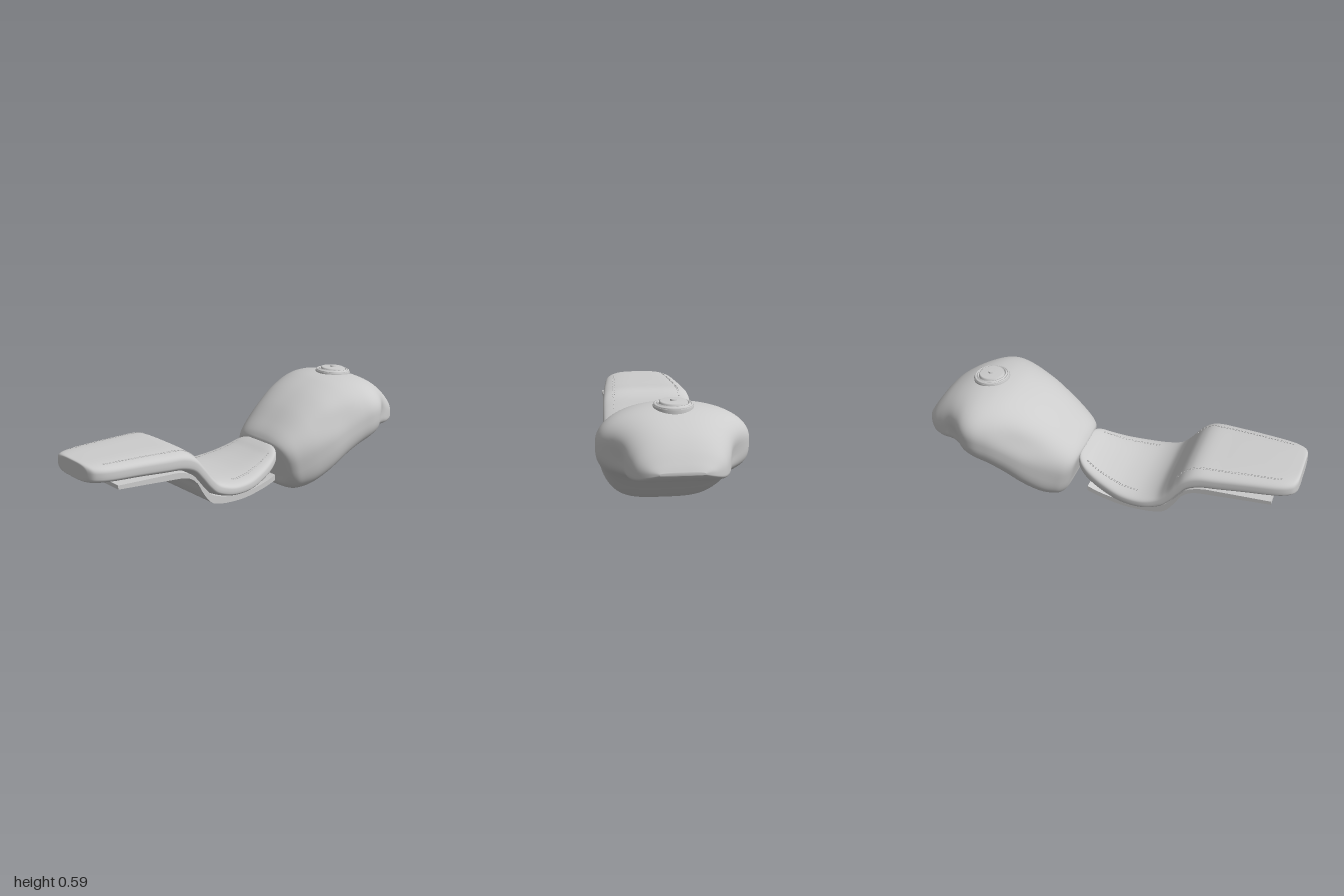
import * as THREE from 'three';
import { mergeGeometries } from 'three/addons/utils/BufferGeometryUtils.js';

const grey = new THREE.MeshStandardMaterial({ color: 0xcccccc });
grey.name = 'light grey';

// Smooth interpolation of station rows at parameter t in 0..1
function sample(rows, t) {
  const f = t * (rows.length - 1), i = Math.min(Math.floor(f), rows.length - 2), u = f - i;
  const p = k => rows[Math.max(0, Math.min(rows.length - 1, k))];
  return rows[0].map((_, k) => {
    const a = p(i - 1)[k], b = p(i)[k], c = p(i + 1)[k], d = p(i + 2)[k];
    return b + 0.5 * u * (c - a + u * (2 * a - 5 * b + 4 * c - d + u * (3 * (b - c) + d - a)));
  });
}

// Row: topX, topY, bottomX, bottomY, halfWidth, height of widest point (0..1), upper and lower squareness
function sectionPoint(row, angle, dent) {
  const [tx, ty, bx, by, w, c, nt, nb] = row;
  const s = Math.sin(angle), k = Math.cos(angle), n = 2 / (s >= 0 ? nt : nb);
  const v = Math.sign(s) * Math.abs(s) ** n;
  const f = c + (v > 0 ? v * (1 - c) : v * c);
  const x = bx + (tx - bx) * f, y = by + (ty - by) * f;
  const z = Math.sign(k) * Math.abs(k) ** n * w;
  return [x, y, z * (1 - (dent ? dent(x, y) : 0))];
}

function loft(rows, steps, sides, dent) {
  const pos = [], idx = [];
  for (let i = 0; i <= steps; i++) {
    const row = sample(rows, i / steps);
    for (let j = 0; j < sides; j++) pos.push(...sectionPoint(row, (j / sides) * Math.PI * 2, dent));
  }
  for (let i = 0; i < steps; i++) for (let j = 0; j < sides; j++) {
    const k = (j + 1) % sides, a = i * sides + j, b = a + sides, c = i * sides + k, d = c + sides;
    idx.push(a, b, d, a, d, c);
  }
  // End caps
  for (const end of [0, 1]) {
    const r = rows[end ? rows.length - 1 : 0], centre = pos.length / 3, o = end * steps * sides;
    pos.push((r[0] + r[2]) / 2, (r[1] + r[3]) / 2, 0);
    for (let j = 0; j < sides; j++) {
      const a = o + j, b = o + (j + 1) % sides;
      idx.push(centre, end ? b : a, end ? a : b);
    }
  }
  const g = new THREE.BufferGeometry();
  g.setAttribute('position', new THREE.Float32BufferAttribute(pos, 3));
  g.setIndex(idx);
  g.computeVertexNormals();
  return g;
}

const tankRows = [
  [0.14, 0.27, 0.2, 0.07, 0.14, 0.5, 3, 3.5],
  [0.145, 0.285, 0.21, 0.035, 0.19, 0.5, 3, 3.5],
  [0.165, 0.315, 0.24, 0.008, 0.225, 0.5, 2.8, 3.5],
  [0.21, 0.36, 0.275, 0.004, 0.25, 0.5, 2.7, 3.5],
  [0.3, 0.44, 0.33, 0.02, 0.285, 0.5, 2.5, 3.5],
  [0.4, 0.505, 0.41, 0.065, 0.318, 0.5, 2.4, 3.3],
  [0.5, 0.548, 0.5, 0.13, 0.338, 0.5, 2.3, 3.2],
  [0.58, 0.565, 0.58, 0.18, 0.352, 0.5, 2.3, 3.2],
  [0.65, 0.567, 0.65, 0.212, 0.36, 0.5, 2.3, 3.2],
  [0.71, 0.56, 0.71, 0.235, 0.347, 0.48, 2.3, 3.2],
  [0.77, 0.543, 0.77, 0.247, 0.305, 0.45, 2.4, 3.5],
  [0.83, 0.515, 0.83, 0.257, 0.262, 0.4, 2.5, 4],
  [0.89, 0.475, 0.89, 0.267, 0.23, 0.3, 2.5, 5],
  [0.94, 0.425, 0.94, 0.28, 0.2, 0.25, 2.5, 5],
  [0.98, 0.37, 0.98, 0.303, 0.15, 0.25, 2.6, 5],
  [1, 0.336, 1, 0.322, 0.1, 0.4, 3, 5],
];

const bump = (v, c, r) => Math.exp(-(((v - c) / r) ** 2));
// Knee hollow under the shoulder ridge, and fork recess near the nose
const tankDent = (x, y) =>
  0.07 * bump(x, 0.4, 0.14) * bump(y, 0.25 + 0.35 * x, 0.07) +
  0.1 * bump(x, 0.79, 0.06) * bump(y, 0.34, 0.08);

const seatRows = [
  [-1, 0.4, -1, 0.325, 0.1],
  [-0.995, 0.408, -0.995, 0.32, 0.135],
  [-0.97, 0.41, -0.97, 0.317, 0.17],
  [-0.9, 0.411, -0.9, 0.313, 0.197],
  [-0.75, 0.41, -0.75, 0.308, 0.217],
  [-0.62, 0.407, -0.62, 0.3, 0.232],
  [-0.51, 0.402, -0.54, 0.295, 0.241],
  [-0.45, 0.375, -0.47, 0.272, 0.247],
  [-0.4, 0.32, -0.425, 0.225, 0.25],
  [-0.35, 0.255, -0.38, 0.17, 0.253],
  [-0.3, 0.21, -0.33, 0.13, 0.257],
  [-0.22, 0.186, -0.23, 0.103, 0.262],
  [-0.12, 0.186, -0.11, 0.103, 0.25],
  [-0.02, 0.205, 0.0, 0.125, 0.219],
  [0.06, 0.231, 0.08, 0.155, 0.19],
  [0.11, 0.255, 0.125, 0.185, 0.165],
  [0.14, 0.268, 0.145, 0.205, 0.135],
  [0.15, 0.268, 0.153, 0.22, 0.1],
].map(r => [...r, 0.45, 3.6, 3.6]);

// Centre line edges of the base plate under the seat
const spline = pts => new THREE.SplineCurve(pts.map(p => new THREE.Vector2(...p))).getPoints(48);
function basePlate() {
  const upper = spline([[-0.89, 0.316], [-0.62, 0.304], [-0.54, 0.298], [-0.47, 0.274], [-0.425, 0.227],
    [-0.38, 0.172], [-0.33, 0.132], [-0.23, 0.106], [-0.11, 0.106], [0, 0.128], [0.065, 0.152]]);
  const lower = spline([[0.065, 0.122], [0, 0.1], [-0.1, 0.078], [-0.18, 0.072], [-0.28, 0.078], [-0.35, 0.1],
    [-0.4, 0.16], [-0.44, 0.225], [-0.5, 0.262], [-0.62, 0.275], [-0.89, 0.296]]);
  const g = new THREE.ExtrudeGeometry(new THREE.Shape([...upper, ...lower]), { depth: 0.444, bevelEnabled: false });
  return g.translate(0, 0, -0.222);
}

// Row of tiny stitches lying on the seat top, following its slope
function stitchRow(x0, x1, ratio, side) {
  const list = [];
  const at = x => {
    let lo = 0, hi = 1;
    for (let i = 0; i < 24; i++) {
      const m = (lo + hi) / 2;
      if (sample(seatRows, m)[0] < x) lo = m; else hi = m;
    }
    const row = sample(seatRows, lo);
    const angle = Math.acos(ratio ** (row[6] / 2));
    const p = sectionPoint(row, angle);
    return new THREE.Vector3(p[0], p[1], p[2] * side);
  };
  for (let x = x0; x < x1; x += 0.016) {
    const a = at(x), b = at(x + 0.009), dir = b.clone().sub(a);
    const g = new THREE.BoxGeometry(dir.length(), 0.004, 0.003);
    const q = new THREE.Quaternion().setFromUnitVectors(new THREE.Vector3(1, 0, 0), dir.normalize());
    g.applyQuaternion(q);
    const m = a.add(b).multiplyScalar(0.5);
    list.push(g.translate(m.x, m.y + 0.0005, m.z));
  }
  return list;
}

export function createModel() {
  const model = new THREE.Group();
  model.name = 'tankAndSeat';
  const add = (name, geometry, parent = model) => {
    const m = new THREE.Mesh(geometry, grey);
    m.name = name;
    parent.add(m);
    return m;
  };

  add('fuelTank', loft(tankRows, 120, 96, tankDent));
  add('seatCushion', loft(seatRows, 120, 64));
  add('seatBasePlate', basePlate());

  // Twin stitch lines, mirrored
  const stitches = [];
  for (const side of [-1, 1]) for (const ratio of [0.735, 0.77]) {
    stitches.push(...stitchRow(-0.92, -0.4, ratio, side), ...stitchRow(-0.2, 0.09, ratio, side));
  }
  add('seatStitching', mergeGeometries(stitches));

  // Filler cap: stepped flange, lid, rim and lock
  const cap = new THREE.Group();
  cap.name = 'fillerCap';
  cap.position.set(0.675, 0.558, 0);
  cap.rotation.z = -0.06;
  model.add(cap);
  const profile = [[0.095, -0.03], [0.095, 0.008], [0.09, 0.015], [0.078, 0.016], [0.076, 0.022],
    [0.072, 0.022], [0.07, 0.016], [0.067, 0.016], [0.066, 0.026], [0.06, 0.03], [0, 0.031]];
  add('capBody', new THREE.LatheGeometry(profile.map(p => new THREE.Vector2(...p)), 48), cap);
  add('capRim', new THREE.TorusGeometry(0.086, 0.006, 8, 48).rotateX(Math.PI / 2).translate(0, 0.013, 0), cap);
  add('capLock', new THREE.CylinderGeometry(0.015, 0.017, 0.008, 24).translate(0, 0.034, 0), cap);
  return model;
}
